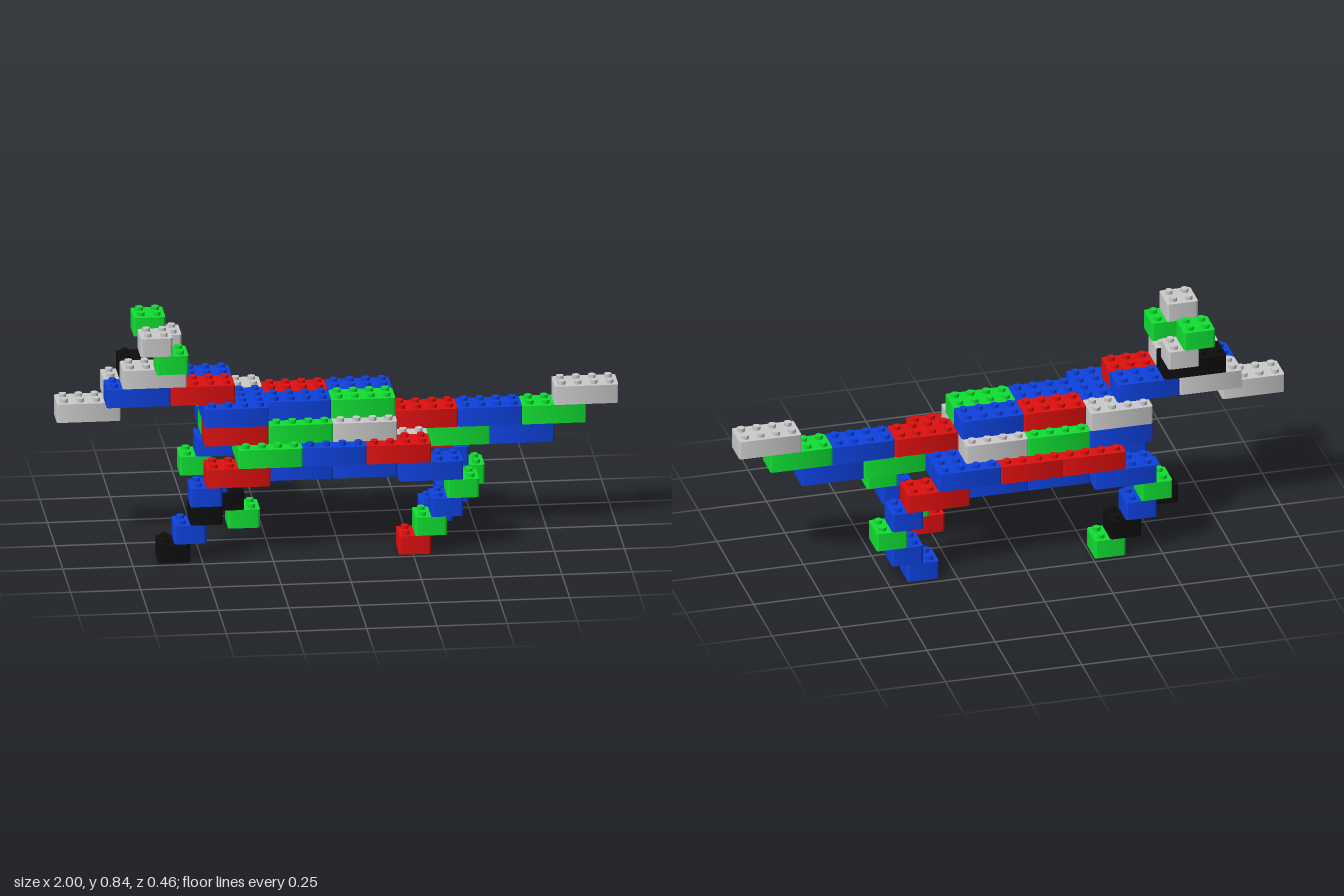
import * as THREE from 'three';
import { mergeGeometries, toCreasedNormals } from 'three/addons/utils/BufferGeometryUtils.js';

const P = 2 / 35;          // stud pitch
const H = P * 1.2;         // brick height
const STUD_R = 0.0137, STUD_H = 0.0135, SOCKET = 0.013;

const COLORS = { r: 0xe00f0f, g: 0x10e033, b: 0x0d42e0, k: 0x0d0d0d, w: 0xcccccc };
const materials = {};
for (const key in COLORS) materials[key] = new THREE.MeshStandardMaterial({ color: COLORS[key] });

// Footprint with rounded vertical corners
function footprint(w, d, r) {
  const s = new THREE.Shape(), x = w / 2, y = d / 2;
  s.moveTo(-x + r, -y);
  s.lineTo(x - r, -y);
  s.absarc(x - r, -y + r, r, -Math.PI / 2, 0);
  s.lineTo(x, y - r);
  s.absarc(x - r, y - r, r, 0, Math.PI / 2);
  s.lineTo(-x + r, y);
  s.absarc(-x + r, y - r, r, Math.PI / 2, Math.PI);
  s.lineTo(-x, -y + r);
  s.absarc(-x + r, -y + r, r, Math.PI, Math.PI * 1.5);
  return s;
}

// One brick: solid body, socketed underside, studs on top (base at y = 0)
const cache = {};
function brickGeometry(nx, nz) {
  const id = nx + 'x' + nz;
  if (cache[id]) return cache[id];
  const w = nx * P - 0.0006, d = nz * P - 0.0006, parts = [];
  const base = footprint(w, d, 0.009), top = footprint(w, d, 0.009);
  for (let i = 0; i < nx; i++) for (let j = 0; j < nz; j++) {
    const x = (i + 0.5 - nx / 2) * P, z = (j + 0.5 - nz / 2) * P;
    base.holes.push(new THREE.Path().absarc(x, z, STUD_R + 0.001, 0, Math.PI * 2, true));
    const stud = new THREE.CylinderGeometry(STUD_R, STUD_R, STUD_H, 14);
    stud.translate(x, H + STUD_H / 2, z);
    parts.push(stud.toNonIndexed());
  }
  const slab = (shape, y, h) => {
    const g = new THREE.ExtrudeGeometry(shape, { depth: h, bevelEnabled: false, curveSegments: 5 });
    g.rotateX(-Math.PI / 2);
    g.translate(0, y, 0);
    parts.push(g);
  };
  slab(base, 0, SOCKET);
  slab(top, SOCKET, H - SOCKET);
  return (cache[id] = toCreasedNormals(mergeGeometries(parts), 0.7));
}

// A row of equal bricks along x, one per colour letter; x and z count studs
function row(group, layer, x, z, colors, length = 4) {
  [...colors].forEach((c, i) => {
    const brick = new THREE.Mesh(brickGeometry(length, 2), materials[c]);
    brick.name = group.name + 'Brick';
    brick.position.set((x + i * length + length / 2 - 17.5) * P, layer * H, (z + 1) * P);
    group.add(brick);
  });
}

export function createModel() {
  const model = new THREE.Group();
  model.name = 'brickAnimal';
  const part = (name, rows) => {
    const g = new THREE.Group();
    g.name = name;
    rows.forEach((r) => row(g, ...r));
    model.add(g);
  };

  // Legs: [layer, x, z, colours, length]
  part('frontLegLeft', [[0, 6, 2, 'k', 2], [1, 7, 2, 'b', 2], [2, 8, 2, 'k', 2], [3, 8, 2, 'b', 2]]);
  part('frontLegRight', [[0, 11, -4, 'g', 2], [1, 10, -4, 'k', 2], [2, 9, -4, 'b', 2], [3, 8, -4, 'g', 2]]);
  part('hindLegLeft', [[0, 21, 2, 'r', 2], [1, 22, 2, 'g', 2], [2, 23, 2, 'b', 2], [3, 24, 2, 'g', 2]]);
  part('hindLegRight', [[0, 23, -4, 'b', 2], [1, 24, -4, 'b', 2], [2, 25, -4, 'g', 2], [3, 24, -4, 'b', 2]]);

  // Belly and hips
  part('belly', [[4, 13, -1, 'kg'], [4, 13, 1, 'bb'], [4, 13, -3, 'bb']]);
  part('hips', [[4, 9, 2, 'r'], [4, 21, 2, 'b'], [4, 9, -4, 'b'], [4, 21, -4, 'r']]);

  // Flanks and back
  part('flanks', [[5, 11, 2, 'gbr'], [5, 11, -4, 'rrb'], [5, 11, 0, 'gbw'], [5, 11, -2, 'rbb']]);
  part('back', [
    [6, 9, 1, 'rgw'], [6, 9, -3, 'bgw'], [6, 9, -1, 'gbr'],
    [7, 13, 0, 'bg'], [7, 13, -2, 'rb'],
    [7, 9, 1, 'b'], [7, 9, -1, 'b'], [7, 9, -3, 'w'],
  ]);

  // Tail
  part('tail', [[5, 23, -1, 'gb'], [6, 21, -1, 'rbg'], [7, 31, -1, 'w']]);

  // Head: snout, two-brick-wide neck, crown and ears
  part('snout', [[7, 0, -1, 'w']]);
  part('head', [[8, 3, 0, 'br'], [8, 3, -2, 'wb'], [9, 4, 0, 'w'], [9, 4, -2, 'k']]);
  part('earLeft', [[10, 6, 1, 'g', 2], [11, 5, 1, 'w', 2]]);
  part('earRight', [[10, 6, -3, 'w', 2], [11, 5, -3, 'g', 2]]);

  return model;
}
